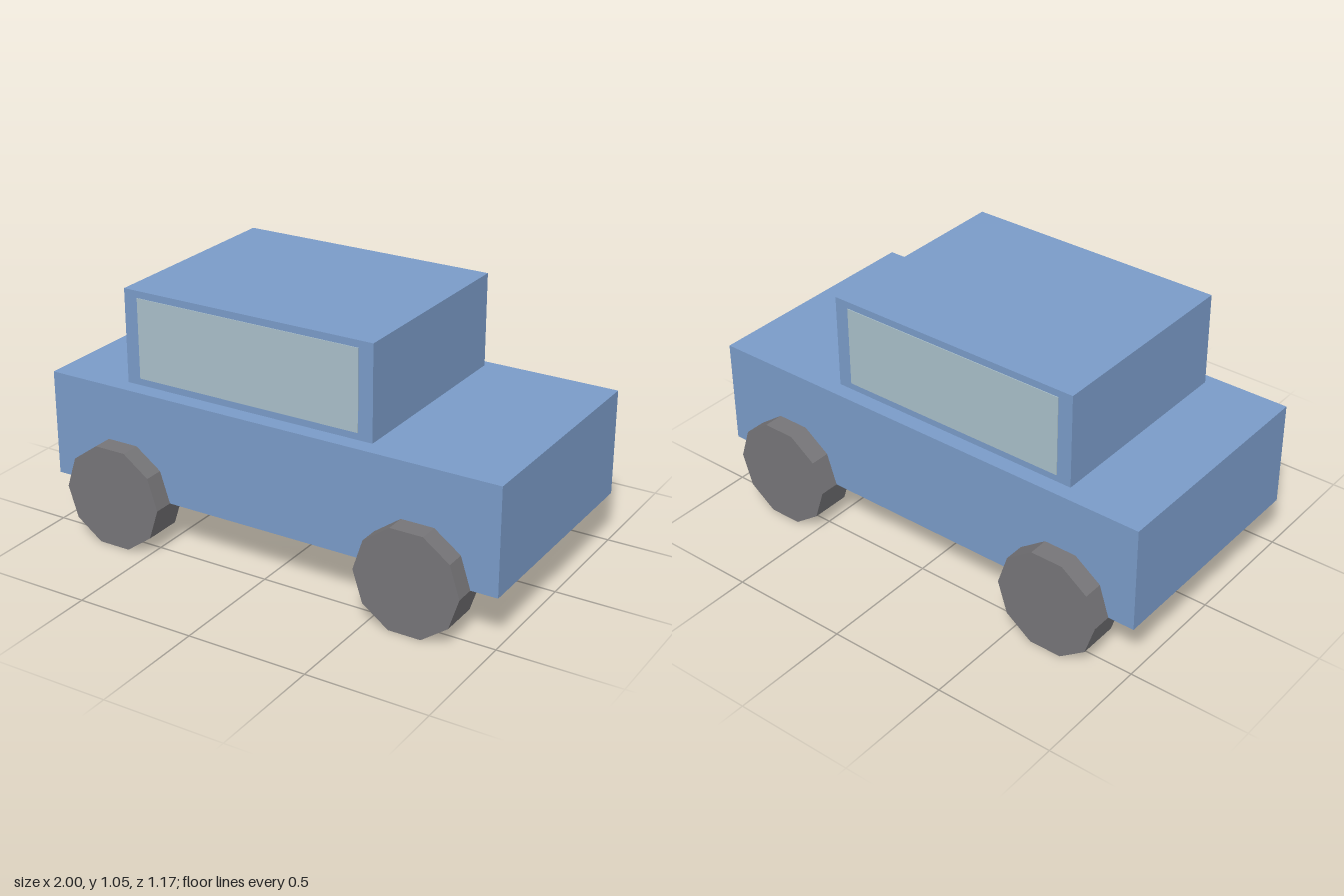
import * as THREE from 'three';

export function createModel() {
  const model = new THREE.Group();
  model.name = 'car';

  const paint = new THREE.MeshStandardMaterial({ name: 'blue paint', color: 0x7a9bc8 });
  const glass = new THREE.MeshStandardMaterial({ name: 'pale glass', color: 0xa9bfc9 });
  const rubber = new THREE.MeshStandardMaterial({ name: 'grey rubber', color: 0x767578, flatShading: true });

  const add = (name, geometry, material, x, y, z) => {
    const mesh = new THREE.Mesh(geometry, material);
    mesh.name = name;
    mesh.position.set(x, y, z);
    model.add(mesh);
    return mesh;
  };

  // Lower body and the cabin just above it
  add('body', new THREE.BoxGeometry(2, 0.444, 1), paint, 0, 0.433, 0);
  add('cabin', new THREE.BoxGeometry(1.111, 0.391, 0.889), paint, -0.111, 0.858, 0);

  // Ten-sided wheels with a corner pointing forward, and thin side windows
  const wheelRadius = 0.222;
  const wheel = new THREE.CylinderGeometry(wheelRadius, wheelRadius, 0.167, 10, 1, false, Math.PI / 2);
  wheel.rotateX(Math.PI / 2);
  const pane = new THREE.BoxGeometry(0.989, 0.333, 0.006);

  for (const side of [1, -1]) {
    const sideName = side > 0 ? 'front' : 'back';
    add(`${sideName}Window`, pane, glass, -0.111, 0.858, side * 0.4445);
    for (const end of [1, -1]) {
      const endName = end > 0 ? 'Left' : 'Right';
      add(`${sideName}${endName}Wheel`, wheel, rubber, end * 0.667, wheelRadius * Math.cos(Math.PI / 10), side * 0.5);
    }
  }

  return model;
}
